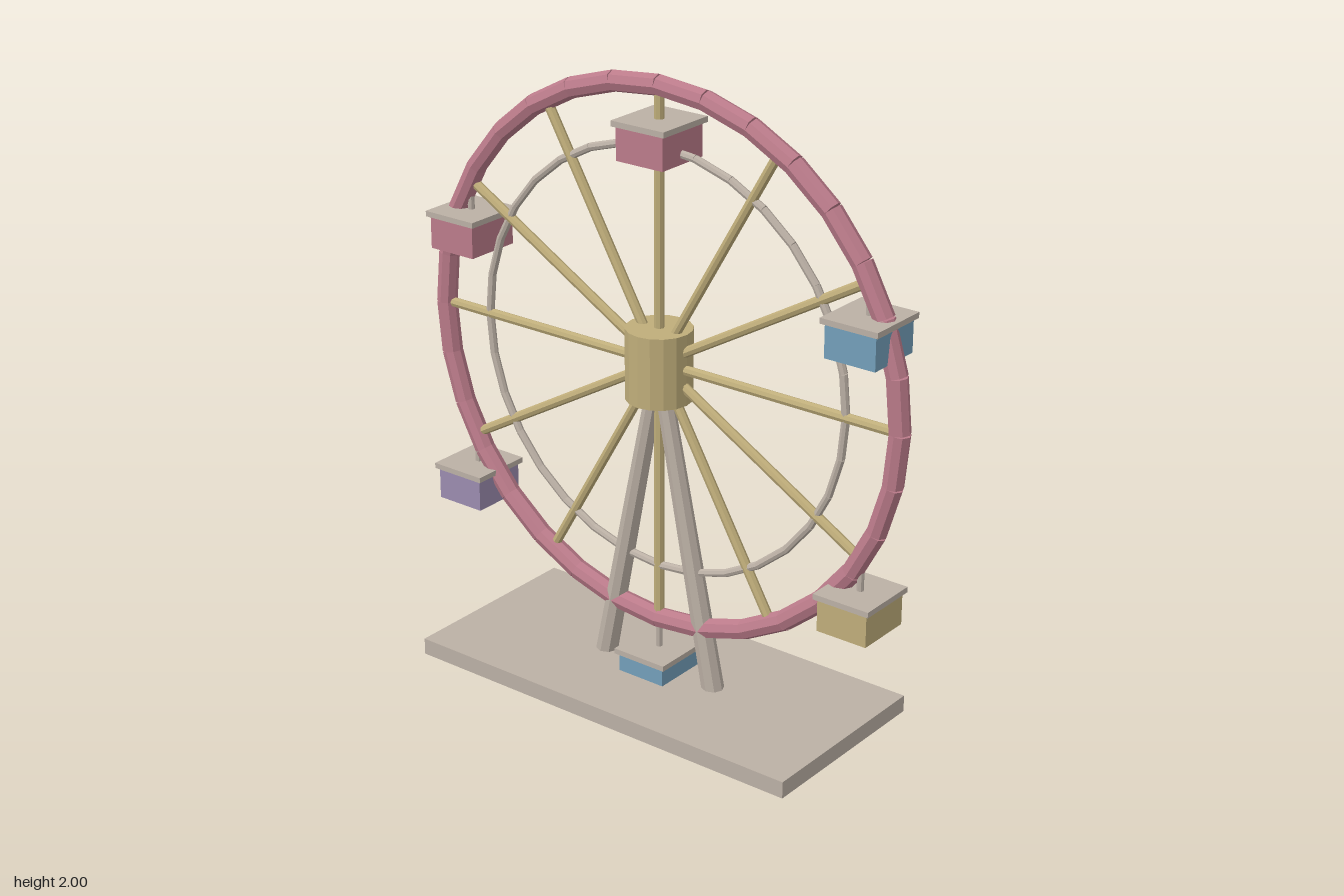
import * as THREE from 'three';

const mat = (name, color) => {
  const m = new THREE.MeshStandardMaterial({ color, flatShading: true });
  m.name = name;
  return m;
};

export function createModel() {
  const stone = mat('warm grey', 0xbbb0a5);
  const gold = mat('gold', 0xbfad7a);
  const pink = mat('pink', 0xbb7b8a);
  const blue = mat('blue', 0x739fb9);
  const purple = mat('purple', 0x9b8caf);

  const model = new THREE.Group();
  model.name = 'observationWheel';
  const HUB_Y = 1.1, RIM = 0.867;
  const up = new THREE.Vector3(0, 1, 0);

  const add = (parent, name, geometry, material, x = 0, y = 0, z = 0) => {
    const mesh = new THREE.Mesh(geometry, material);
    mesh.name = name;
    mesh.position.set(x, y, z);
    parent.add(mesh);
    return mesh;
  };

  // Straight bar between two points, optionally tapered
  const bar = (parent, name, a, b, rA, rB, sides, material) => {
    const dir = b.clone().sub(a);
    const mesh = add(parent, name, new THREE.CylinderGeometry(rB, rA, dir.length(), sides), material);
    mesh.position.copy(a).add(b).multiplyScalar(0.5);
    mesh.quaternion.setFromUnitVectors(up, dir.normalize());
    return mesh;
  };

  const polar = (r, angle) => new THREE.Vector3(r * Math.cos(angle), r * Math.sin(angle), 0);

  // Base slab and two splayed legs
  add(model, 'base', new THREE.BoxGeometry(1.43, 0.055, 0.65), stone, 0, 0.0275, 0);
  for (const side of [-1, 1]) {
    bar(model, 'supportLeg', new THREE.Vector3(side * 0.215, 0.045, 0),
      new THREE.Vector3(0, HUB_Y, 0), 0.036, 0.026, 8, stone);
  }

  // Wheel: upright hub drum, spokes and two rings of straight segments
  const wheel = new THREE.Group();
  wheel.name = 'wheel';
  wheel.position.y = HUB_Y;
  model.add(wheel);
  add(wheel, 'hub', new THREE.CylinderGeometry(0.105, 0.105, 0.23, 16), gold);

  for (let i = 0; i < 12; i++) {
    bar(wheel, 'spoke', new THREE.Vector3(), polar(0.846, i * Math.PI / 6), 0.016, 0.016, 8, gold);
  }

  const ring = (name, radius, tube, sides, material) => {
    const group = new THREE.Group();
    group.name = name;
    wheel.add(group);
    const step = Math.PI / 16;
    for (let i = 0; i < 32; i++) {
      bar(group, name + 'Segment', polar(radius, i * step), polar(radius, (i + 1) * step),
        tube, tube, sides, material);
    }
  };
  ring('outerRim', RIM, 0.033, 8, pink);
  ring('innerRing', 0.682, 0.013, 8, stone);

  // Hanging cabins, counter-clockwise from the upper +x one
  [blue, pink, pink, purple, blue, gold].forEach((paint, i) => {
    const cabin = new THREE.Group();
    cabin.name = 'cabin';
    cabin.position.copy(polar(RIM, Math.PI / 6 + i * Math.PI / 3));
    wheel.add(cabin);
    add(cabin, 'hanger', new THREE.CylinderGeometry(0.011, 0.011, 0.11, 8), stone, 0, -0.055, 0);
    add(cabin, 'roof', new THREE.BoxGeometry(0.195, 0.018, 0.21), stone, 0, -0.109, 0);
    add(cabin, 'cabinBody', new THREE.BoxGeometry(0.173, 0.105, 0.19), paint, 0, -0.1705, 0);
  });

  return model;
}
